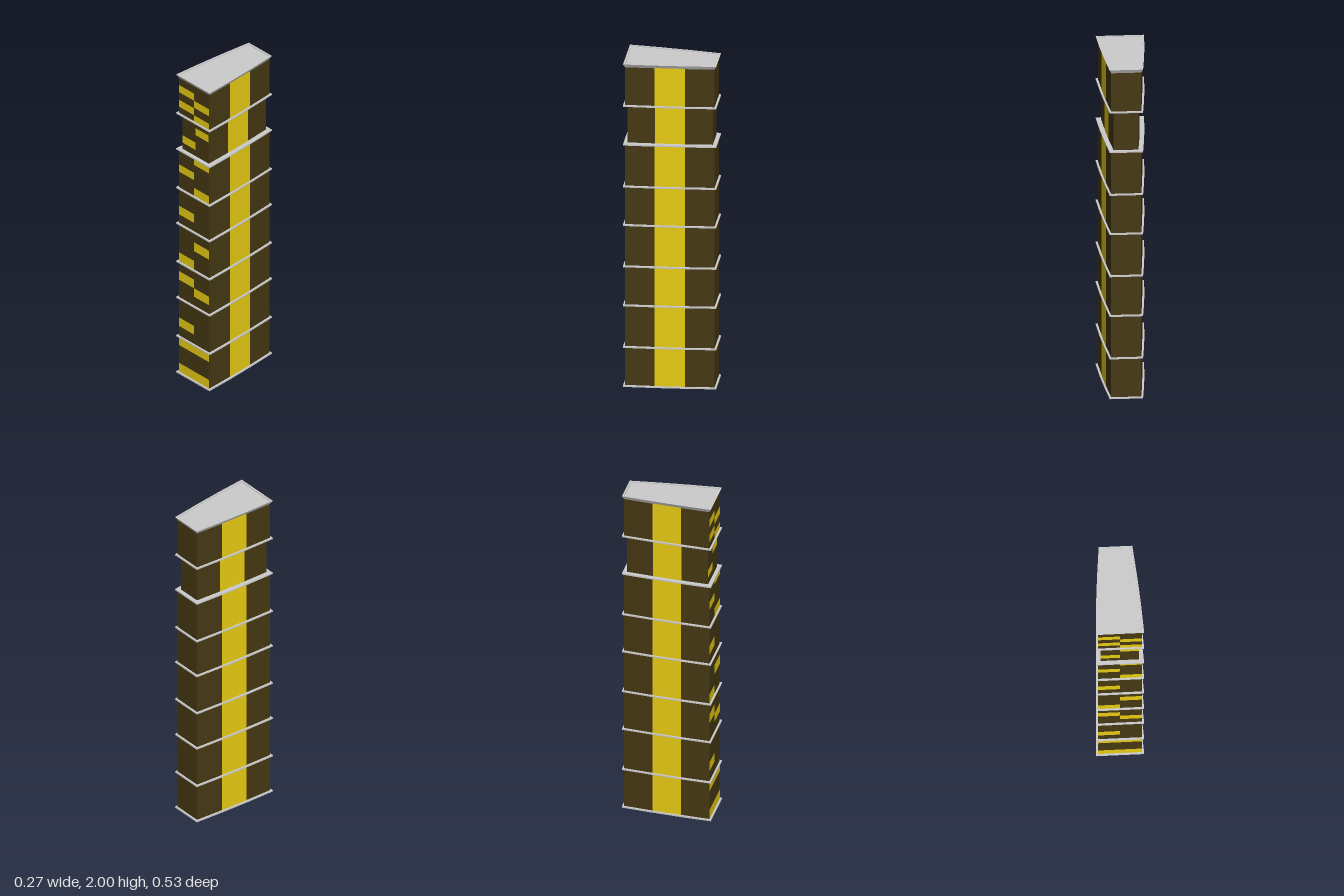
import * as THREE from 'three';

const grey = new THREE.MeshStandardMaterial({ color: 0xcccccc, flatShading: true });
const dark = new THREE.MeshStandardMaterial({ color: 0x453812, flatShading: true });
const yellow = new THREE.MeshStandardMaterial({ color: 0xe8cc12, flatShading: true });

// Tapered, slightly bowed floor plan, counter-clockwise seen from above: [x, z]
function plan(halfWidths, depth) {
  const zs = [depth, 0.085, -0.085, -depth];
  const right = halfWidths.map((x, i) => [x, zs[i]]);
  return [...right, ...right.map(([x, z]) => [-x, z]).reverse()];
}
const wallPlan = plan([0.125, 0.115, 0.102, 0.085], 0.252);
const insetPlan = plan([0.108, 0.099, 0.086, 0.07], 0.24);
const slabPlan = plan([0.137, 0.127, 0.113, 0.095], 0.263);

function addMesh(group, name, positions, material) {
  const geometry = new THREE.BufferGeometry();
  geometry.setAttribute('position', new THREE.Float32BufferAttribute(positions, 3));
  geometry.computeVertexNormals();
  const mesh = new THREE.Mesh(geometry, material);
  mesh.name = name;
  group.add(mesh);
}

function quad(out, a, b, c, d) {
  out.push(...a, ...b, ...c, ...a, ...c, ...d);
}

// Closed solid through a stack of [plan, height] layers
function loft(layers) {
  const out = [];
  const rings = layers.map(([p, y]) => p.map(([x, z]) => [x, y, z]));
  const n = rings[0].length;
  for (let k = 0; k + 1 < rings.length; k++) {
    for (let i = 0; i < n; i++) {
      const j = (i + 1) % n;
      quad(out, rings[k][i], rings[k][j], rings[k + 1][j], rings[k + 1][i]);
    }
  }
  const bottom = rings[0], top = rings[rings.length - 1];
  for (let i = 1; i + 1 < n; i++) {
    out.push(...top[0], ...top[i], ...top[i + 1]);
    out.push(...bottom[0], ...bottom[i + 1], ...bottom[i]);
  }
  return out;
}

// Upright panel between two plan points, outward side to the right of the path
function panel(a, b, y0, y1) {
  const out = [];
  quad(out, [a[0], y0, a[1]], [b[0], y0, b[1]], [b[0], y1, b[1]], [a[0], y1, a[1]]);
  return out;
}

export function createModel() {
  const group = new THREE.Group();
  const levels = [0, 0.242, 0.5, 0.742, 0.998, 1.237, 1.497, 1.737, 1.98];
  const slabHeight = 0.008;
  const insetFloor = 6;
  const proud = 0.001;

  // Window bands per floor: [side (-1, 1, or 0 for full width), bottom, top]
  const windows = [
    [[0, 0.008, 0.066], [0, 0.185, 0.242]],
    [[-1, 0.313, 0.371]],
    [[1, 0.567, 0.624], [-1, 0.624, 0.682]],
    [[-1, 0.75, 0.808], [1, 0.873, 0.933]],
    [[-1, 1.063, 1.121]],
    [[1, 1.245, 1.298], [-1, 1.35, 1.399], [1, 1.452, 1.497]],
    [[-1, 1.547, 1.596], [1, 1.647, 1.694]],
    [[1, 1.745, 1.786], [-1, 1.786, 1.833], [1, 1.836, 1.883], [-1, 1.883, 1.931]],
  ];

  for (let f = 0; f < 8; f++) {
    const floor = new THREE.Group();
    floor.name = `floor${f + 1}`;
    group.add(floor);
    const outline = f === insetFloor ? insetPlan : wallPlan;
    const y0 = levels[f] + slabHeight, y1 = levels[f + 1];

    addMesh(floor, 'floorSlab', loft([[slabPlan, levels[f]], [slabPlan, y0]]), grey);
    addMesh(floor, 'walls', loft([[outline, y0], [outline, y1]]), dark);

    // Full-height window strip in the middle of each side
    const shift = ([x, z]) => [x + Math.sign(x) * proud, z];
    addMesh(floor, 'leftWindowStrip', panel(shift(outline[1]), shift(outline[2]), y0, y1), yellow);
    addMesh(floor, 'rightWindowStrip', panel(shift(outline[5]), shift(outline[6]), y0, y1), yellow);

    // Staggered windows on the front
    const [w, d] = outline[0];
    for (const [side, low, high] of windows[f]) {
      const from = side > 0 ? 0 : -w, to = side < 0 ? 0 : w;
      addMesh(floor, 'frontWindow', panel([from, d + proud], [to, d + proud], low, high), yellow);
    }
  }

  // Flared roof with a shallow rim
  addMesh(group, 'roof', loft([
    [wallPlan, 1.978], [slabPlan, 2], [wallPlan, 2], [wallPlan, 1.995],
  ]), grey);
  return group;
}
